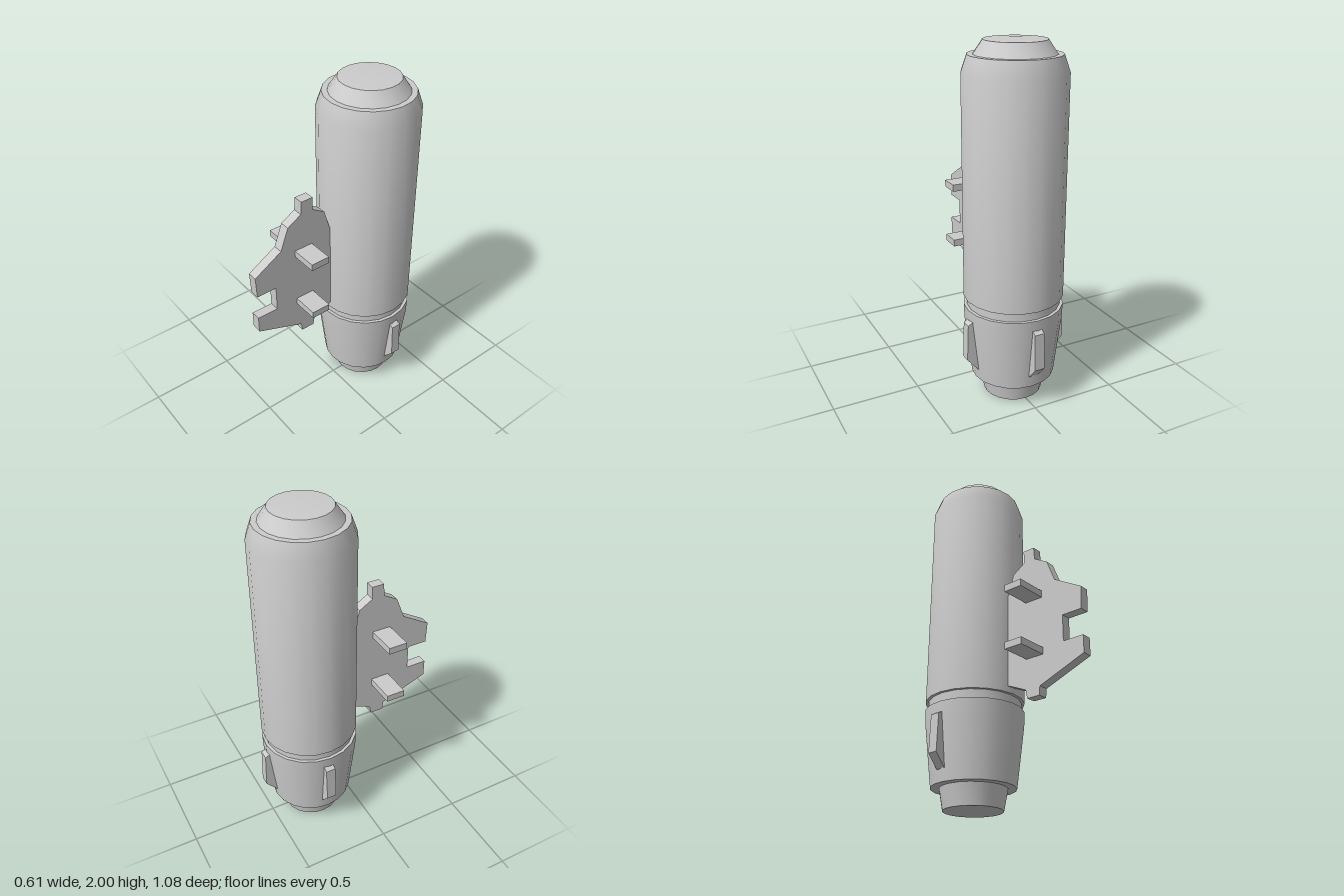
import * as THREE from 'three';
import { toCreasedNormals } from 'three/addons/utils/BufferGeometryUtils.js';

const material = new THREE.MeshStandardMaterial({ color: 0xcccccc });
const points = (list) => list.map(([a, b]) => new THREE.Vector2(a, b));

function mesh(name, geometry) {
  const m = new THREE.Mesh(geometry, material);
  m.name = name;
  return m;
}

// Turned part: [radius, height] profile from bottom to top
function turned(name, profile) {
  const lathe = new THREE.LatheGeometry(points(profile), 20);
  return mesh(name, toCreasedNormals(lathe, 0.5));
}

// Flat plate of a given thickness, centred on its own plane
function plate(outline, thickness) {
  const geometry = new THREE.ExtrudeGeometry(new THREE.Shape(points(outline)), {
    depth: thickness, bevelEnabled: false,
  });
  return geometry.translate(0, 0, -thickness / 2);
}

export function createModel() {
  const model = new THREE.Group();
  model.name = 'canister';

  // Cylinder with recessed neck, tapered base and stepped cap
  const body = new THREE.Group();
  body.name = 'body';
  body.position.z = -0.233;
  model.add(body);
  body.add(
    turned('nozzle', [[0, 0.005], [0.165, 0.01], [0.187, 0.13], [0, 0.13]]),
    turned('base', [[0, 0.128], [0.235, 0.128], [0.275, 0.47], [0.278, 0.553], [0, 0.553]]),
    turned('neck', [[0.26, 0.54], [0.26, 0.62]]),
    turned('barrel', [[0, 0.605], [0.278, 0.605], [0.278, 1.83], [0.247, 1.918], [0, 1.918]]),
    turned('cap', [[0.218, 1.915], [0.167, 1.99], [0, 2.0]]),
  );

  // Fins on the two sides and the back of the base
  const finOutline = [[0.2, 0.195], [0.24, 0.195], [0.305, 0.27], [0.298, 0.48], [0.27, 0.495], [0.2, 0.495]];
  ['leftFin', 'backFin', 'rightFin'].forEach((name, i) => {
    const fin = mesh(name, plate(finOutline, 0.057));
    fin.rotation.y = i * Math.PI / 2;
    fin.position.z = i === 1 ? 0 : -0.012;
    body.add(fin);
  });

  // Upright bracket on the front, outlined as [z, y]
  const bracketOutline = [
    [-0.01, 0.64], [0.045, 0.64], [0.16, 0.59], [0.17, 0.54], [0.25, 0.54], [0.255, 0.59],
    [0.54, 0.7], [0.54, 0.8], [0.415, 0.8], [0.415, 0.95], [0.535, 0.95], [0.54, 1.08],
    [0.37, 1.18], [0.32, 1.31], [0.235, 1.36], [0.23, 1.435], [0.157, 1.435], [0.16, 1.36],
    [0.08, 1.31], [0.045, 1.19], [-0.01, 1.19],
  ];
  const bracket = mesh('bracket', plate(bracketOutline, 0.058).rotateY(-Math.PI / 2));
  bracket.position.x = -0.005;
  model.add(bracket);

  // Crossbars through the bracket
  [['upperCrossbar', 1.12], ['lowerCrossbar', 0.782]].forEach(([name, y]) => {
    const bar = mesh(name, new THREE.BoxGeometry(0.39, 0.04, 0.112));
    bar.position.set(-0.02, y, 0.224);
    model.add(bar);
  });

  return model;
}
